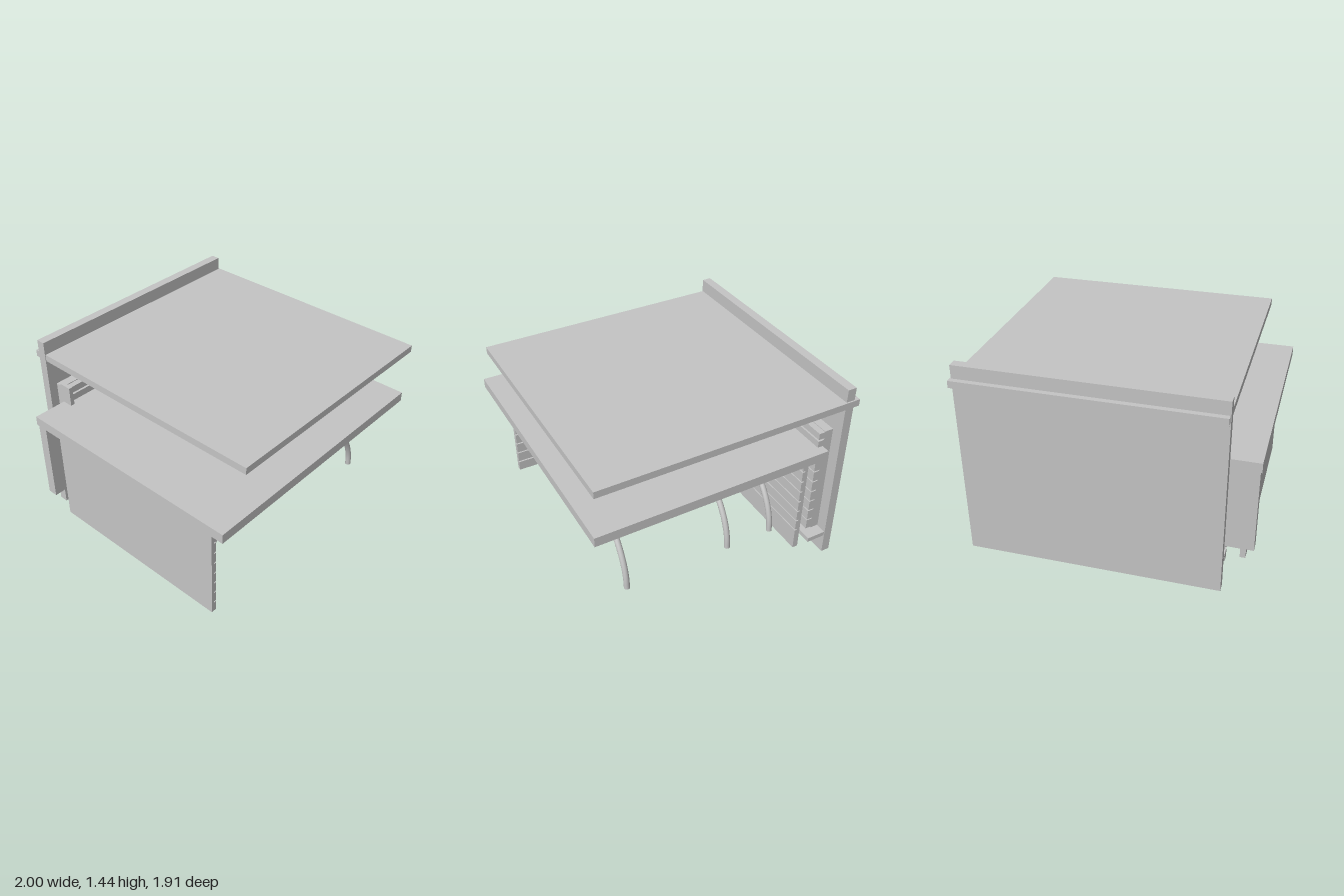
import * as THREE from 'three';

export function createModel() {
  const model = new THREE.Group();
  const grey = new THREE.MeshStandardMaterial({ color: 0xc4c4c4 });
  grey.name = 'plain grey';

  // Box given by its limits on each axis
  function box(name, x0, x1, y0, y1, z0, z1, parent = model) {
    const mesh = new THREE.Mesh(new THREE.BoxGeometry(x1 - x0, y1 - y0, z1 - z0), grey);
    mesh.position.set((x0 + x1) / 2, (y0 + y1) / 2, (z0 + z1) / 2);
    mesh.name = name;
    parent.add(mesh);
    return mesh;
  }
  function group(name) {
    const g = new THREE.Group();
    g.name = name;
    model.add(g);
    return g;
  }

  // Main slabs
  box('backWall', -0.805, 0.985, 0, 1.44, -0.92, -0.855);
  box('upperRoof', -0.8, 0.995, 1.295, 1.345, -0.957, 0.955);
  box('lowerRoof', -1, 0.965, 0.89, 0.96, -0.785, 0.955);
  box('cornerBoard', -0.99, -0.78, 0.27, 0.89, -0.78, -0.705);

  // Slatted side wall: smooth outside, slats inside
  const side = group('sideWall');
  box('sideBacking', -0.925, -0.905, 0.09, 0.84, -0.65, 0.8, side);
  box('sideBaseSlat', -0.905, -0.885, 0.09, 0.168, -0.65, 0.8, side);
  for (let i = 0; i < 7; i++) {
    const y = 0.18 + i * 0.0905;
    box('sideSlat', -0.905, -0.885, y, y + 0.08, -0.65, 0.8, side);
  }
  box('sideTopSlat', -0.905, -0.885, 0.815, 0.84, -0.65, 0.8, side);

  // Slatted inner back wall
  const inner = group('innerBackWall');
  box('innerBacking', -0.79, 0.9, 0.065, 0.88, -0.687, -0.665, inner);
  box('innerBaseSlat', -0.79, 0.9, 0.065, 0.235, -0.665, -0.645, inner);
  for (let i = 0; i < 7; i++) {
    const y = 0.245 + i * 0.0905;
    box('innerSlat', -0.79, 0.9, y, y + 0.08, -0.665, -0.645, inner);
  }

  // Frame between the inner back wall and the outer back wall
  const frame = group('rearFrame');
  box('frameBoard', -0.74, 0.9, 0.2, 1.08, -0.857, -0.79, frame);
  box('frameSill', -0.8, 0.985, 0.165, 0.2, -0.85, -0.705, frame);
  for (const x of [-0.735, -0.185, 0.365]) {
    box('framePost', x - 0.015, x + 0.015, 0.155, 1.105, -0.8, -0.705, frame);
  }
  for (let i = 0; i < 9; i++) {
    const y = 0.21 + i * 0.09;
    box('frameSlat', -0.735, 0.9, y, y + 0.08, -0.79, -0.745, frame);
  }
  box('frameTopSlat', -0.735, 0.9, 1.025, 1.075, -0.79, -0.745, frame);

  // Arched ribs below the lower roof
  const points = [];
  for (let i = 0; i <= 24; i++) {
    const a = (i / 24) * Math.PI;
    points.push(new THREE.Vector3(-0.04 + 0.847 * Math.cos(a), 0.24 + 0.625 * Math.sin(a), 0));
  }
  const arch = new THREE.CatmullRomCurve3(points);
  const archGeometry = new THREE.TubeGeometry(arch, 64, 0.021, 14);
  const capGeometry = new THREE.CircleGeometry(0.021, 14).rotateX(Math.PI / 2);
  for (const z of [0.675, -0.12, -0.48]) {
    const rib = group('archRib');
    rib.position.z = z;
    const tube = new THREE.Mesh(archGeometry, grey);
    tube.name = 'archTube';
    rib.add(tube);
    for (const p of [points[0], points[24]]) {
      const cap = new THREE.Mesh(capGeometry, grey);
      cap.name = 'archEnd';
      cap.position.copy(p);
      rib.add(cap);
    }
  }

  // Flat four-armed fan under the lower roof
  const fan = group('ceilingFan');
  fan.position.set(-0.08, 0.83, 0.23);
  const hub = new THREE.Mesh(new THREE.CylinderGeometry(0.03, 0.03, 0.03, 20), grey);
  hub.name = 'fanHub';
  fan.add(hub);
  const stem = new THREE.Mesh(new THREE.CylinderGeometry(0.01, 0.01, 0.06, 12), grey);
  stem.name = 'fanStem';
  stem.position.y = 0.03;
  fan.add(stem);
  for (const s of [-1, 1]) {
    const blade = box('fanBladePair', -0.32, 0.32, -0.008, 0.008, -0.02, 0.02, fan);
    blade.rotation.y = s * Math.atan2(0.28, 0.19);
  }

  return model;
}
